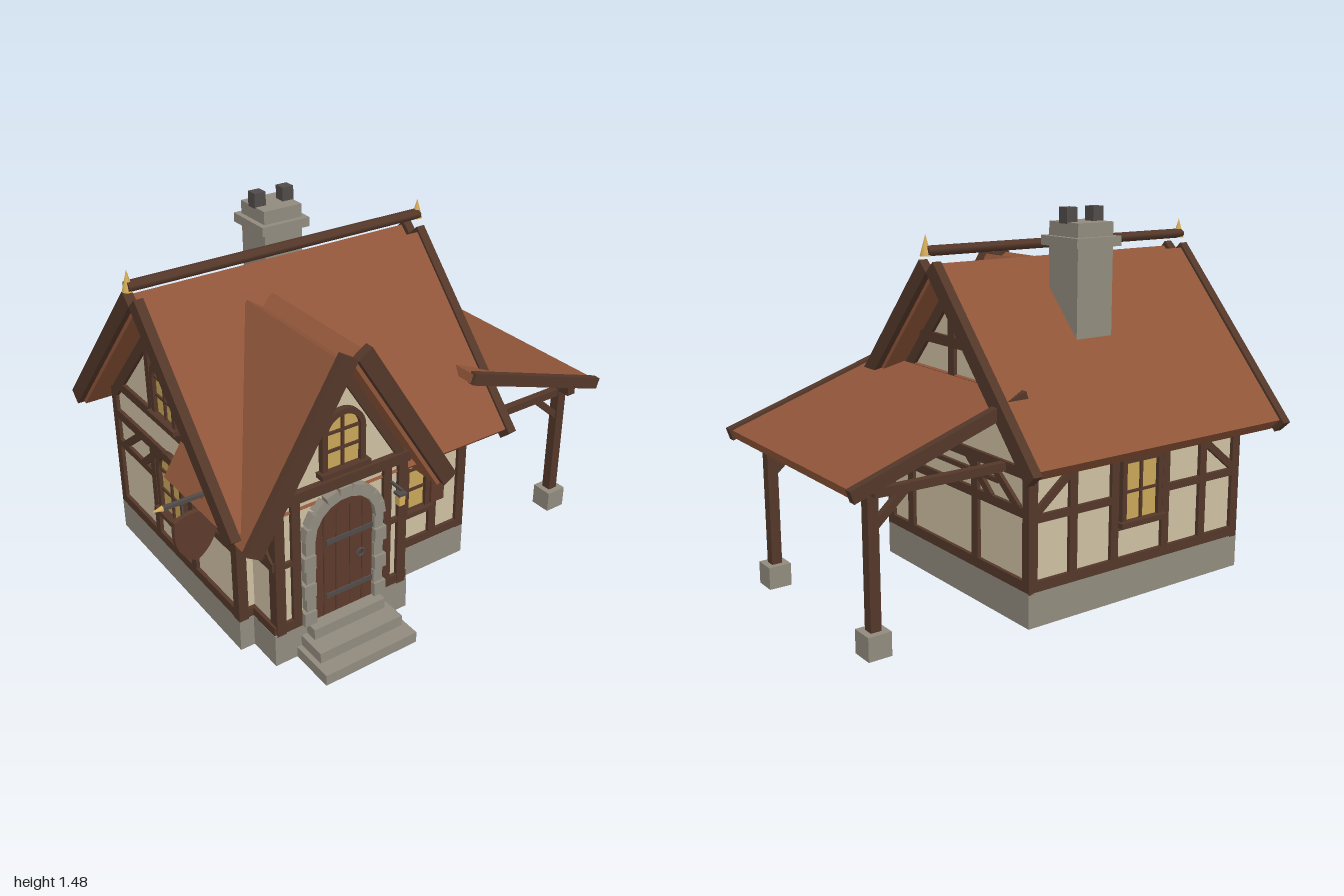
import * as THREE from 'three';

const mat = (name, color) => new THREE.MeshStandardMaterial({ name, color });
const M = {
  roof: mat('roofTile', 0x8f5539), timber: mat('timber', 0x533729), plaster: mat('plaster', 0xcdbfa2),
  stone: mat('stone', 0x918b7e), iron: mat('iron', 0x504b49), gold: mat('gold', 0xd6ac58),
  glass: mat('windowGlass', 0xc8a559), door: mat('doorWood', 0x5c3a2b),
};

function add(parent, name, geo, material, x = 0, y = 0, z = 0) {
  const m = new THREE.Mesh(geo, material);
  m.name = name;
  m.position.set(x, y, z);
  parent.add(m);
  return m;
}
// Box given by its min and max on every axis
function block(parent, name, material, x0, x1, y0, y1, z0, z1) {
  return add(parent, name, new THREE.BoxGeometry(x1 - x0, y1 - y0, z1 - z0), material,
    (x0 + x1) / 2, (y0 + y1) / 2, (z0 + z1) / 2);
}
// Timber lying in a wall plane from (u0,v0) to (u1,v1)
function stick(parent, u0, v0, u1, v1, w = 0.036, z = 0, d = 0.03, name = 'timber') {
  const m = add(parent, name, new THREE.BoxGeometry(Math.hypot(u1 - u0, v1 - v0), w, d), M.timber,
    (u0 + u1) / 2, (v0 + v1) / 2, z);
  m.rotation.z = Math.atan2(v1 - v0, u1 - u0);
  return m;
}
// Group whose local +z points out of a wall
function wall(parent, name, x, z, turn) {
  const g = new THREE.Group();
  g.name = name;
  g.position.set(x, 0, z);
  g.rotation.y = turn;
  parent.add(g);
  return g;
}
const extrude = (shape, depth) => new THREE.ExtrudeGeometry(shape, { depth, bevelEnabled: false, curveSegments: 10 });

// Opening outline: rectangle or round-headed arch, base at y = 0
function outline(w, h, arched, Type = THREE.Shape) {
  const s = new Type(), r = w / 2;
  s.moveTo(-r, 0);
  s.lineTo(r, 0);
  if (arched) s.absarc(0, h - r, r, 0, Math.PI, false);
  else { s.lineTo(r, h); s.lineTo(-r, h); }
  s.closePath();
  return s;
}
function addWindow(parent, u, v, w, h, arched) {
  const g = new THREE.Group();
  g.name = 'window';
  g.position.set(u, v, 0);
  parent.add(g);
  add(g, 'glass', extrude(outline(w, h, arched), 0.006), M.glass, 0, 0, 0.002);
  const b = 0.022, ring = outline(w + 2 * b, h + b, arched);
  ring.holes.push(outline(w, h, arched, THREE.Path));
  add(g, 'frame', extrude(ring, 0.024), M.timber);
  stick(g, 0, 0, 0, h, 0.012, 0.01, 0.012, 'glazingBar');
  for (const f of arched ? [0.36, 0.7] : [0.5]) stick(g, -w / 2, h * f, w / 2, h * f, 0.01, 0.01, 0.012, 'glazingBar');
  block(g, 'sill', M.timber, -w / 2 - 0.035, w / 2 + 0.035, -0.016, 0.004, -0.01, 0.04);
}
// House body: gabled cross-section run along its ridge
function gableBody(hw, eave, apex, len) {
  const s = new THREE.Shape();
  [[-hw, 0.1], [hw, 0.1], [hw, eave], [0, apex], [-hw, eave]].forEach(([x, y], i) => i ? s.lineTo(x, y) : s.moveTo(x, y));
  return extrude(s, len).translate(0, 0, -len / 2);
}
// Two sloping slabs whose lower edges meet at the apex, ridge along local z
function slopes(parent, name, material, apex, len, thick, depth, angle, z = 0) {
  for (const s of [0, 1]) {
    const side = wall(parent, name, 0, z, s * Math.PI);
    const m = add(side, name, new THREE.BoxGeometry(len, thick, depth).translate(len / 2, thick / 2, 0), material, 0, apex, 0);
    m.rotation.z = -angle;
  }
}

function buildBody(root) {
  // Footings and front steps
  block(root, 'mainFooting', M.stone, -0.75, 0.32, 0, 0.135, -0.575, 0.405);
  block(root, 'porchFooting', M.stone, -0.69, -0.09, 0, 0.135, 0.3, 0.555);
  [[0.205, 0.745, 0.045], [0.185, 0.68, 0.09], [0.16, 0.605, 0.135]].forEach(([hw, z, y], i) =>
    block(root, 'step', M.stone, -0.392 - hw, -0.392 + hw, i * 0.045, y, 0.5, z));
  // Plaster bodies
  add(root, 'mainWalls', gableBody(0.475, 0.68, 1.21, 1.04), M.plaster, -0.215, 0, -0.085).rotation.y = Math.PI / 2;
  add(root, 'porchWalls', gableBody(0.285, 0.7, 1.16, 0.44), M.plaster, -0.39, 0, 0.32);
}

function buildMainTimbers(root) {
  // Corner posts
  for (const x of [-0.73, 0.3]) for (const z of [-0.555, 0.385])
    block(root, 'cornerPost', M.timber, x - 0.02, x + 0.02, 0.13, 0.7, z - 0.02, z + 0.02);
  // Gable end walls
  for (const s of [1, -1]) {
    const g = wall(root, s > 0 ? 'rightWall' : 'leftWall', s > 0 ? 0.305 : -0.735, -0.085, s * Math.PI / 2);
    for (const v of [0.155, 0.577]) stick(g, -0.475, v, 0.475, v, 0.04);
    for (const m of [-1, 1]) {
      stick(g, m * 0.46, 0.68, 0, 1.18, 0.045);
      stick(g, m * 0.42, 0.44, m * 0.25, 0.57, 0.03);
      stick(g, m * 0.25, 0.44, m * 0.1, 0.57, 0.03);
    }
    if (s > 0) {
      for (const u of [-0.31, 0.15]) stick(g, u, 0.15, u, 0.57, 0.04);
      stick(g, -0.46, 0.43, 0.46, 0.43);
      stick(g, -0.3, 0.512, 0.3, 0.512, 0.018);
      stick(g, 0, 0.6, 0, 1.2, 0.04);
      stick(g, -0.22, 0.98, 0.22, 0.98, 0.04);
      stick(g, -0.36, 0.835, 0.36, 0.835, 0.04);
    } else {
      for (const m of [-1, 1]) {
        stick(g, m * 0.15, 0.15, m * 0.15, 0.57);
        stick(g, m * 0.15, 0.44, m * 0.46, 0.44, 0.03);
        stick(g, m * 0.13, 0.73, m * 0.13, 1.04, 0.03);
      }
      stick(g, -0.42, 0.725, 0.42, 0.725, 0.04);
      stick(g, -0.15, 0.3, 0.15, 0.3, 0.03);
      stick(g, 0, 1.0, 0, 1.18);
      addWindow(g, 0, 0.315, 0.165, 0.27, true);
      addWindow(g, 0, 0.76, 0.14, 0.22, true);
    }
  }
  // Back wall
  const b = wall(root, 'backWall', -0.215, -0.56, Math.PI);
  for (const v of [0.155, 0.577]) stick(b, -0.52, v, 0.52, v, 0.04);
  for (const m of [-1, 1]) {
    for (const u of [0.13, 0.33]) stick(b, m * u, 0.15, m * u, 0.57);
    stick(b, m * 0.13, 0.41, m * 0.51, 0.41, 0.03);
    stick(b, m * 0.5, 0.43, m * 0.34, 0.56, 0.03);
  }
  stick(b, -0.13, 0.3, 0.13, 0.3, 0.03);
  addWindow(b, 0, 0.315, 0.16, 0.23, false);
  // Front wall beside the porch
  const f = wall(root, 'frontWall', 0, 0.39, 0);
  for (const v of [0.155, 0.592]) stick(f, -0.72, v, 0.3, v, 0.036);
  stick(f, -0.1, 0.31, 0.17, 0.31, 0.026);
  stick(f, 0.155, 0.15, 0.155, 0.59);
  addWindow(f, 0.025, 0.315, 0.165, 0.265, true);
  block(f, 'shutter', M.door, 0.135, 0.2, 0.32, 0.49, 0.012, 0.028);
  block(f, 'shutter', M.door, -0.15, -0.085, 0.32, 0.49, 0.012, 0.028);
}

function buildPorch(root) {
  const g = wall(root, 'porchFront', -0.39, 0.54, 0);
  for (const m of [-1, 1]) {
    block(g, 'cornerPost', M.timber, m * 0.27 - 0.02, m * 0.27 + 0.02, 0.13, 0.7, -0.03, 0.016);
    stick(g, m * 0.2, 0.15, m * 0.2, 0.7);
    stick(g, m * 0.2, 0.43, m * 0.28, 0.43, 0.02);
    stick(g, m * 0.17, 0.155, m * 0.28, 0.155, 0.04);
    stick(g, m * 0.275, 0.69, 0, 1.13, 0.035);
    // Porch side walls
    const s = wall(root, 'porchSide', -0.39 + m * 0.285, 0.47, m * Math.PI / 2);
    for (const v of [0.155, 0.44, 0.577]) stick(s, -0.08, v, 0.08, v, 0.036);
    stick(s, -m * 0.06, 0.45, m * 0.07, 0.57, 0.025);
  }
  stick(g, -0.295, 0.702, 0.295, 0.702, 0.042, 0.008, 0.036);
  addWindow(g, 0, 0.76, 0.14, 0.21, true);
  // Arched door with planks, straps and ring
  add(g, 'door', extrude(outline(0.27, 0.505, true), 0.014), M.door, 0, 0.135, 0);
  for (const x of [-0.085, -0.03, 0.03, 0.085]) block(g, 'plankSeam', M.timber, x - 0.003, x + 0.003, 0.14, 0.59, 0.01, 0.016);
  for (const y of [0.22, 0.46]) block(g, 'strap', M.iron, -0.075, 0.13, y - 0.01, y + 0.01, 0.01, 0.02);
  add(g, 'doorRing', new THREE.TorusGeometry(0.016, 0.005, 6, 14), M.iron, 0.075, 0.36, 0.02);
  // Stone surround
  for (const m of [-1, 1]) for (let i = 0; i < 6; i++) {
    const w = i % 2 ? 0.04 : 0.052, x = m * (0.13 + w / 2);
    block(g, 'jambStone', M.stone, x - w / 2, x + w / 2, 0.137 + i * 0.062, 0.195 + i * 0.062, -0.01, i % 2 ? 0.03 : 0.036);
  }
  for (let i = 0; i < 9; i++) {
    const a = Math.PI * (i + 0.5) / 9;
    const m = add(g, 'archStone', new THREE.BoxGeometry(0.045, 0.052, 0.045), M.stone, 0.153 * Math.cos(a), 0.505 + 0.153 * Math.sin(a), 0.013);
    m.rotation.z = a;
  }
  // Lantern beside the door
  block(g, 'lanternBracket', M.iron, 0.21, 0.22, 0.605, 0.615, 0, 0.08);
  block(g, 'lanternCap', M.iron, 0.197, 0.233, 0.588, 0.598, 0.052, 0.088);
  block(g, 'lantern', M.gold, 0.202, 0.228, 0.545, 0.588, 0.057, 0.083);
}

function buildRoofs(root) {
  // Main roof, ridge along x
  const main = wall(root, 'mainRoof', -0.215, -0.085, Math.PI / 2), A = Math.atan(1.092);
  slopes(main, 'roofSlab', M.roof, 1.225, 0.86, 0.07, 1.23, A);
  for (const z of [-0.62, 0.622]) slopes(main, 'bargeboard', M.timber, 1.25, 0.9, 0.063, 0.037, A, z);
  add(main, 'ridgeBeam', new THREE.CylinderGeometry(0.03, 0.03, 1.28, 8).rotateY(Math.PI / 8).rotateX(Math.PI / 2).scale(1, 0.66, 1), M.timber, 0, 1.328, 0);
  for (const z of [-0.635, 0.64]) add(main, 'finial', new THREE.ConeGeometry(0.022, 0.08, 8), M.gold, 0, 1.35, z);
  // Porch roof, ridge along z
  const porch = wall(root, 'porchRoof', -0.39, 0, 0), B = Math.atan(1.603);
  slopes(porch, 'roofSlab', M.roof, 1.18, 0.725, 0.065, 0.585, B, 0.3225);
  slopes(porch, 'bargeboard', M.timber, 1.208, 0.745, 0.065, 0.036, B, 0.627);
  // Chimney
  const c = wall(root, 'chimney', -0.125, -0.305, 0);
  for (const [hw, y0, y1] of [[0.085, 0.85, 1.34], [0.107, 1.335, 1.372], [0.085, 1.372, 1.425]])
    block(c, 'chimneyStone', M.stone, -hw, hw, y0, y1, -hw, hw);
  for (const x of [-0.063, 0.063]) block(c, 'chimneyPot', M.iron, x - 0.025, x + 0.025, 1.42, 1.48, -0.024, 0.024);
}

function buildLeanTo(root) {
  const g = wall(root, 'leanTo', 0, 0, 0);
  const slab = (name, m, y, len, t, z0, z1) => {
    add(g, name, new THREE.BoxGeometry(len, t, z1 - z0).translate(len / 2, t / 2, 0), m, 0.285, y, (z0 + z1) / 2)
      .rotation.z = -Math.atan(0.333);
  };
  slab('roofSlab', M.roof, 0.828, 0.728, 0.036, -0.51, 0.445);
  slab('bargeboard', M.timber, 0.825, 0.738, 0.048, 0.43, 0.462);
  slab('bargeboard', M.timber, 0.825, 0.738, 0.048, -0.53, -0.498);
  block(g, 'purlin', M.timber, 0.85, 0.89, 0.585, 0.622, -0.49, 0.43);
  for (const z of [0.36, -0.42]) {
    block(g, 'postFoot', M.stone, 0.823, 0.915, 0, 0.09, z - 0.046, z + 0.046);
    block(g, 'post', M.timber, 0.848, 0.89, 0.09, 0.61, z - 0.021, z + 0.021);
    block(g, 'tieBeam', M.timber, 0.3, 0.87, 0.562, 0.594, z - 0.016, z + 0.016);
    stick(g, 0.86, 0.46, 0.735, 0.57, 0.028, z, 0.026, 'brace');
  }
}

function buildSign(root) {
  const g = wall(root, 'hangingSign', -0.845, 0.28, 0);
  block(g, 'signBar', M.iron, -0.115, 0.11, 0.643, 0.657, -0.008, 0.008);
  add(g, 'barTip', new THREE.ConeGeometry(0.012, 0.04, 8).rotateZ(Math.PI / 2), M.gold, -0.135, 0.65, 0);
  for (const x of [-0.04, 0.04]) block(g, 'hanger', M.iron, x - 0.003, x + 0.003, 0.57, 0.645, -0.003, 0.003);
  // Shield board with a pale face on its back
  const shield = (k) => {
    const s = new THREE.Shape();
    s.moveTo(-0.078 * k, 0.085 * k);
    s.quadraticCurveTo(0, 0.125 * k, 0.085 * k, 0.08 * k);
    s.quadraticCurveTo(0.105 * k, -0.04 * k, 0, -0.105 * k);
    s.quadraticCurveTo(-0.105 * k, -0.05 * k, -0.078 * k, 0.085 * k);
    return s;
  };
  add(g, 'shieldBoard', extrude(shield(1), 0.02), M.door, 0, 0.49, -0.01);
  add(g, 'shieldFace', extrude(shield(0.8), 0.005), M.plaster, 0, 0.49, -0.014);
}

export function createModel() {
  const root = new THREE.Group();
  root.name = 'cottage';
  for (const build of [buildBody, buildMainTimbers, buildPorch, buildRoofs, buildLeanTo, buildSign]) build(root);
  return root;
}
